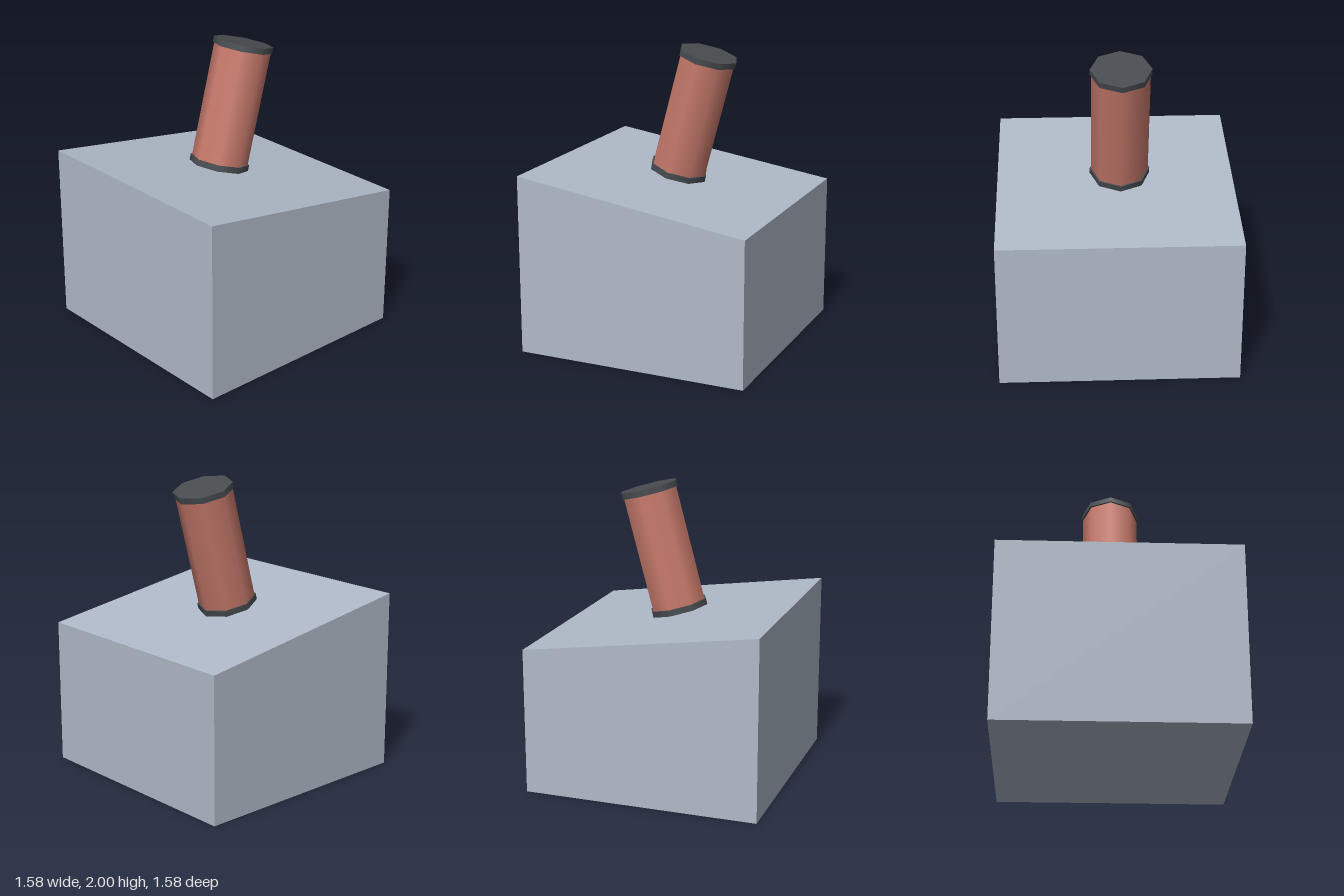
import * as THREE from 'three';

const SIDES = 8;

function mesh(name, geometry, color) {
  const m = new THREE.Mesh(geometry, new THREE.MeshStandardMaterial({ color }));
  m.name = name;
  return m;
}

// Block whose top slopes down from front to back
function slopedBlock(half, frontHeight, backHeight) {
  const geo = new THREE.BoxGeometry(half * 2, 1, half * 2);
  const p = geo.attributes.position;
  for (let i = 0; i < p.count; i++) {
    const height = p.getZ(i) > 0 ? frontHeight : backHeight;
    p.setY(i, p.getY(i) > 0 ? height : 0);
  }
  geo.computeVertexNormals();
  return geo;
}

export function createModel() {
  const model = new THREE.Group();
  model.name = 'canOnBlock';

  model.add(mesh('slopedBlock', slopedBlock(0.79, 1.21, 0.98), 0xb0bac8));

  // Can leaning backwards, with a dark rim at each end
  const length = 0.85, rimHeight = 0.04;
  const can = new THREE.Group();
  can.name = 'can';
  can.add(mesh('canBody', new THREE.CylinderGeometry(0.19, 0.19, length - rimHeight, SIDES), 0xc87a6c));
  for (const [name, side] of [['topRim', 1], ['bottomRim', -1]]) {
    const rim = mesh(name, new THREE.CylinderGeometry(0.2, 0.2, rimHeight, SIDES), 0x484c50);
    rim.position.y = side * (length - rimHeight) / 2;
    can.add(rim);
  }
  can.position.set(-0.03, 1.538, -0.092);
  can.rotation.x = -THREE.MathUtils.degToRad(15);
  model.add(can);

  return model;
}
